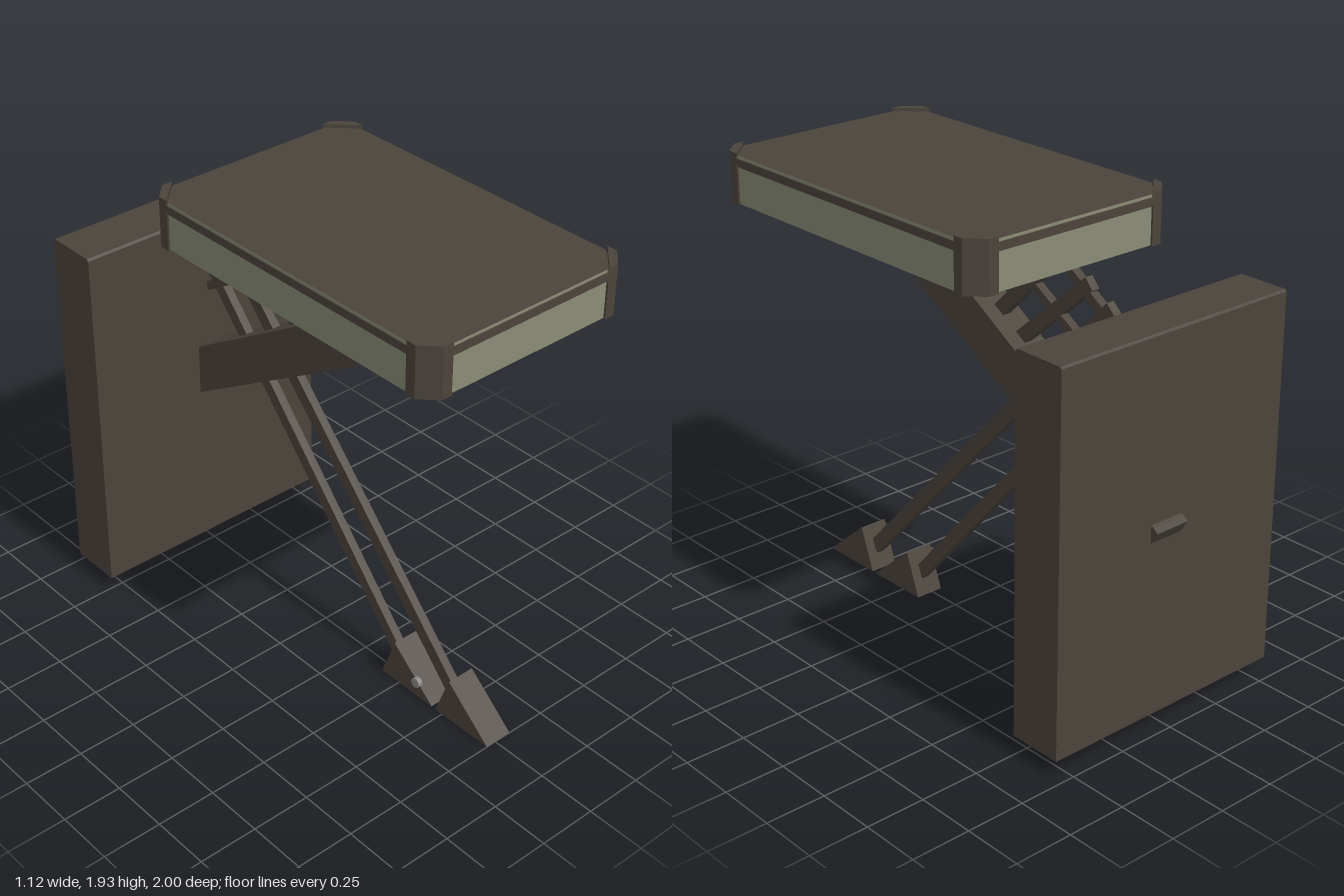
import * as THREE from 'three';

const brown = new THREE.MeshStandardMaterial({ name: 'dark brown', color: 0x4b443c });
const olive = new THREE.MeshStandardMaterial({ name: 'olive', color: 0x8a8b77 });
const grey = new THREE.MeshStandardMaterial({ name: 'grey', color: 0x8a8a86 });

const shapeOf = (pts) => new THREE.Shape(pts.map(([a, b]) => new THREE.Vector2(a, b)));

// Side profile of [z, y] points, extruded from x0 to x1
function sideProfile(pts, x0, x1) {
  const g = new THREE.ExtrudeGeometry(shapeOf(pts), { depth: x1 - x0, bevelEnabled: false });
  return g.rotateY(-Math.PI / 2).translate(x1, 0, 0);
}

// Plan outline of [x, z] points, extruded from y0 to y1
function planProfile(pts, y0, y1) {
  const g = new THREE.ExtrudeGeometry(shapeOf(pts), { depth: y1 - y0, bevelEnabled: false });
  return g.rotateX(Math.PI / 2).translate(0, y1, 0);
}

// Rectangle with cut corners, centred on the origin
function cutRect(w, d, c) {
  return [[w, d - c], [w - c, d], [c - w, d], [-w, d - c],
    [-w, c - d], [c - w, -d], [w - c, -d], [w, c - d]];
}

export function createModel() {
  const model = new THREE.Group();
  model.name = 'cantilever seat';

  function add(parent, name, geometry, material = brown) {
    const mesh = new THREE.Mesh(geometry, material);
    mesh.name = name;
    parent.add(mesh);
    return mesh;
  }

  // Upright back panel with slightly eased edges
  const e = 0.008, zf = -0.733, zb = -0.962, yb = 0.067, yt = 1.607;
  add(model, 'backPanel', sideProfile([
    [zf, yb], [zf, yt - e], [zf - e, yt], [zb + e, yt], [zb, yt - e], [zb, yb],
  ], -0.565, 0.552));

  // Seat: olive sides, brown rail and top, corner brackets
  const seat = new THREE.Group();
  seat.name = 'seat';
  seat.position.set(0.075, 0, 0.225);
  model.add(seat);
  const W = 0.485, D = 0.758;
  add(seat, 'seatBody', planProfile(cutRect(W - 0.009, D - 0.009, 0.1), 1.722, 1.918), [brown, olive]);
  add(seat, 'seatRail', planProfile(cutRect(W - 0.004, D - 0.004, 0.1), 1.873, 1.906));
  for (const sx of [-1, 1]) {
    for (const sz of [-1, 1]) {
      const corner = [[W, D - 0.11], [W, D - 0.066], [W - 0.066, D], [W - 0.11, D]];
      add(seat, 'cornerBracket', planProfile(corner.map(([x, z]) => [x * sx, z * sz]), 1.72, 1.93));
    }
  }

  // Slanting beam from the seat through the panel
  add(model, 'supportBeam', sideProfile([
    [0.81, 1.725], [0.43, 1.725], [-0.975, 0.863], [-0.995, 0.848], [-0.895, 0.692],
  ], -0.055, 0.1));

  // Rods between two [z, y] points
  const xMid = 0.018;
  function rod(name, [z0, y0], [z1, y1], thick) {
    const g = new THREE.BoxGeometry(0.036, thick, Math.hypot(z1 - z0, y1 - y0));
    const m = add(model, name, g);
    m.position.set(xMid, (y0 + y1) / 2, (z0 + z1) / 2);
    m.rotation.x = -Math.atan2(y1 - y0, z1 - z0);
  }
  rod('frontStrut', [0.75, 0.09], [-0.665, 1.593], 0.06);
  rod('rearStrut', [0.45, 0.08], [-0.76, 1.43], 0.056);
  rod('shortStrut', [0.0, 1.36], [-0.38, 1.73], 0.056);
  rod('shortStrut', [-0.12, 1.29], [-0.55, 1.66], 0.056);
  rod('crossTie', [0.02, 1.735], [-0.75, 1.27], 0.036);
  rod('crossTie', [-0.36, 1.735], [-0.75, 1.485], 0.036);

  // Wedge feet
  for (const [name, z] of [['frontFoot', 1], ['rearFoot', 0.69]]) {
    add(model, name, sideProfile([[z, 0], [z - 0.22, 0.186], [z - 0.29, 0]], -0.046, 0.078));
  }

  // Small pin on the rear foot
  const pin = new THREE.CylinderGeometry(0.022, 0.022, 0.02, 16).rotateZ(Math.PI / 2);
  add(model, 'footPin', pin, grey).position.set(-0.044, 0.066, 0.6);

  return model;
}
